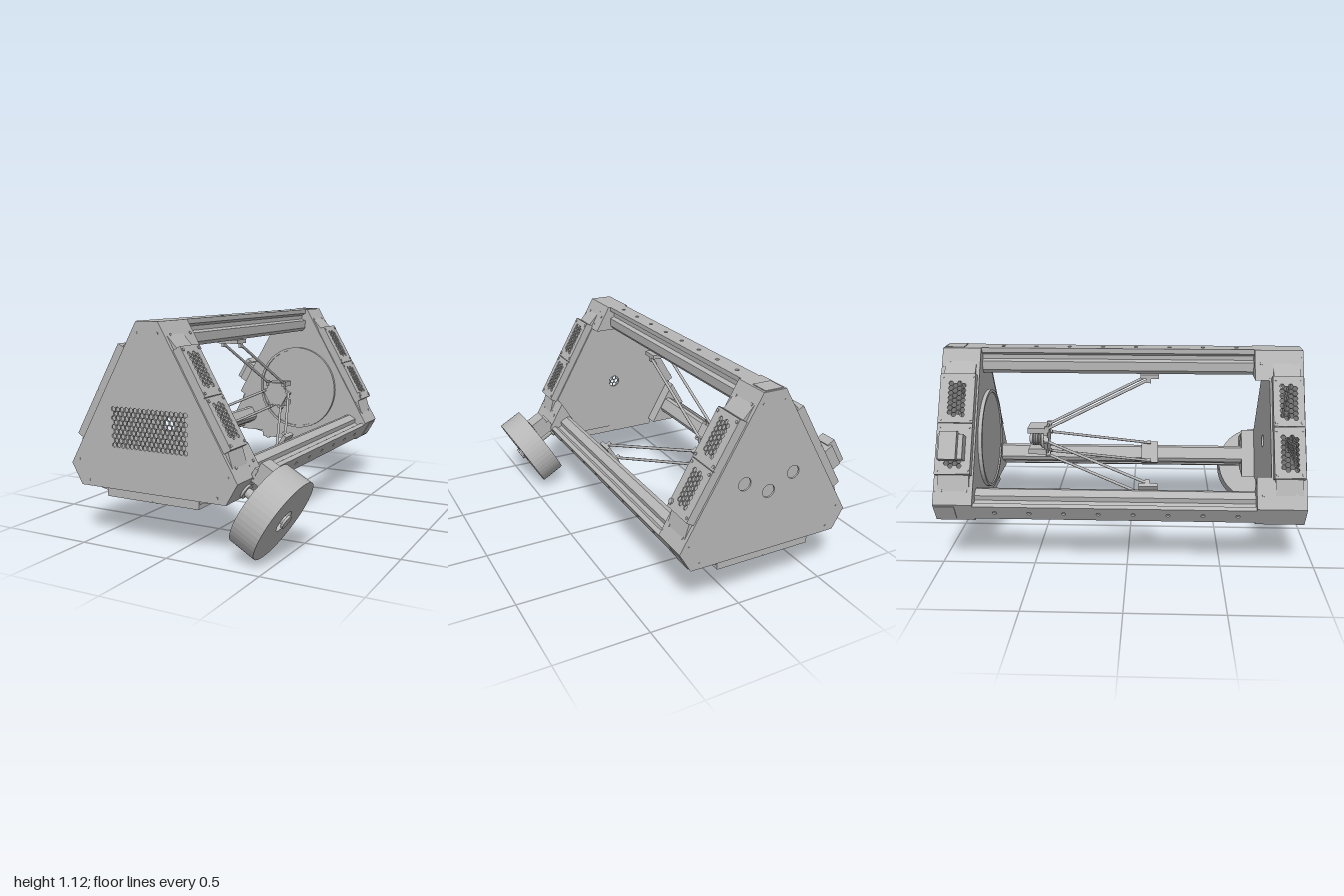
import * as THREE from 'three';

const CX = -0.1375, CY = 0.6, THIRD = Math.PI * 2 / 3;
const grey = new THREE.MeshStandardMaterial({ color: 0xb6b6b6 });
grey.name = 'machine grey';

function add(parent, name, geometry, x = 0, y = 0, z = 0) {
  const m = new THREE.Mesh(geometry, grey);
  m.name = name;
  m.position.set(x, y, z);
  parent.add(m);
  return m;
}
const box = (parent, name, w, h, d, x, y, z) => add(parent, name, new THREE.BoxGeometry(w, h, d), x, y, z);

// A group turned about the long axis of the frame; local +y points outwards
function sector(parent, name, angle) {
  const g = new THREE.Group();
  g.name = name;
  g.position.set(CX, CY, 0);
  g.rotation.z = angle;
  parent.add(g);
  return g;
}

const polygon = pts => new THREE.Shape(pts.map(p => new THREE.Vector2(p[0], p[1])));
const rectangle = (w, h) => polygon([[-w / 2, -h / 2], [w / 2, -h / 2], [w / 2, h / 2], [-w / 2, h / 2]]);
const extrude = (shape, depth, segs = 8) =>
  new THREE.ExtrudeGeometry(shape, { depth, bevelEnabled: false, curveSegments: segs });
// Extrusion lying in the x-z plane, thick along y
const slab = (shape, depth, segs) => extrude(shape, depth, segs).rotateX(-Math.PI / 2);

function punch(shape, x, y, r, sides = 0) {
  const hole = new THREE.Path();
  if (!sides) hole.absarc(x, y, r, 0, Math.PI * 2, true);
  else {
    const pts = [];
    for (let i = 0; i < sides; i++) {
      const a = Math.PI / sides - i / sides * Math.PI * 2 + Math.PI / 2 - Math.PI / sides;
      pts.push(new THREE.Vector2(x + r * Math.cos(a), y + r * Math.sin(a)));
    }
    hole.setFromPoints(pts);
  }
  shape.holes.push(hole);
}

// Staggered honeycomb of hexagonal openings
function honeycomb(shape, x0, x1, y0, y1) {
  const pitch = 0.0262, row = pitch * 0.866, r = 0.0128;
  const rows = Math.floor((y1 - y0 - 2 * r) / row) + 1;
  const yStart = (y0 + y1) / 2 - (rows - 1) * row / 2;
  for (let j = 0; j < rows; j++) {
    for (let x = x0 + r + (j % 2) * pitch / 2; x <= x1 - r + 1e-6; x += pitch) {
      punch(shape, x, yStart + j * row, r, 6);
    }
  }
}

// Triangle with cut corners
function endShape() {
  const pts = [];
  for (let k = 0; k < 3; k++) {
    const c = Math.cos(k * THIRD), s = Math.sin(k * THIRD);
    for (const x of [0.0625, -0.0625]) pts.push([x * c - 0.525 * s, x * s + 0.525 * c]);
  }
  return polygon(pts);
}

// Straight rod between two points
function rod(parent, name, a, b, r) {
  const d = b.clone().sub(a);
  const m = add(parent, name, new THREE.CylinderGeometry(r, r, d.length(), 8));
  m.position.copy(a).addScaledVector(d, 0.5);
  m.quaternion.setFromUnitVectors(new THREE.Vector3(0, 1, 0), d.normalize());
}

// Raised vented cover on one side of an end block
function ventCover(parent, zc, depth) {
  const g = new THREE.Group();
  g.name = 'ventCover';
  g.position.z = zc;
  parent.add(g);
  for (const s of [-1, 1]) {
    const plate = rectangle(0.267, depth);
    honeycomb(plate, -0.103, 0.103, -0.058, 0.058);
    add(g, 'ventPlate', slab(plate, 0.008), s * 0.135, 0.353, 0);
    box(g, 'coverEnd', 0.008, 0.05, depth, s * 0.266, 0.33, 0);
    box(g, 'coverSide', 0.54, 0.045, 0.008, 0, 0.331, s * (depth / 2 - 0.004));
    const flap = polygon([[0.27, 0.335], [0.27, 0.3], [0.38, 0.31]].map(p => [s * p[0], p[1]]));
    add(g, 'coverFlap', extrude(flap, depth - 0.02), 0, 0, 0.01 - depth / 2);
    for (const x of [0.02, 0.25]) for (const e of [-1, 1]) {
      add(g, 'coverScrew', new THREE.CylinderGeometry(0.008, 0.008, 0.006, 10), s * x, 0.362, e * (depth / 2 - 0.014));
    }
  }
}

export function createModel() {
  const model = new THREE.Group();
  model.name = 'triangularFrameMachine';
  const core = sector(model, 'endPlates', 0);

  // End plates
  const front = endShape();
  honeycomb(front, -0.225, 0.225, -0.108, 0.108);
  add(core, 'frontPlate', extrude(front, 0.01), 0, 0, 0.912);
  const frontInner = endShape();
  punch(frontInner, 0, 0, 0.035);
  add(core, 'frontInnerPlate', extrude(frontInner, 0.01), 0, 0, 0.742);
  const back = endShape();
  for (const [x, y] of [[-0.14, 0.08], [0, 0.01], [0.14, 0.08]]) punch(back, x, y, 0.035);
  add(core, 'backPlate', extrude(back, 0.01), 0, 0, -1);
  add(core, 'backInnerPlate', extrude(endShape(), 0.01), 0, 0, -0.805);

  // Round bed with a raised rim
  add(core, 'bed', new THREE.CylinderGeometry(0.26, 0.26, 0.012, 48).rotateX(Math.PI / 2), 0, 0, -0.789);
  const rim = new THREE.Shape().absarc(0, 0, 0.272, 0, Math.PI * 2);
  punch(rim, 0, 0, 0.257);
  add(core, 'bedRim', extrude(rim, 0.02, 24), 0, 0, -0.795);

  const names = ['top', 'left', 'right'];
  const angles = [0, -THIRD, THIRD];
  angles.forEach((angle, i) => {
    const corner = sector(model, names[i] + 'Column', angle);

    // Grooved rail with a drilled outer strip
    const half = [[0.05, 0.516], [0.05, 0.5], [0.026, 0.485], [0.026, 0.462], [0.05, 0.452], [0.05, 0.405], [0.034, 0.385]];
    const profile = polygon([...half, ...half.map(p => [-p[0], p[1]]).reverse()]);
    add(corner, 'rail', extrude(profile, 1.5), 0, 0, -0.81);
    const strip = rectangle(0.1, 1.48);
    for (let k = 0; k < 8; k++) punch(strip, 0, 0.62 - 0.18 * k, 0.011);
    add(corner, 'railStrip', slab(strip, 0.009), 0, 0.516, -0.065);

    // Corner brackets
    const bracket = polygon([[-0.146, 0.38], [0.146, 0.38], [0.0625, 0.525], [-0.0625, 0.525]]);
    add(corner, 'frontBracket', extrude(bracket, 0.245), 0, 0, 0.667);
    add(corner, 'backBracket', extrude(bracket, 0.195), 0, 0, -0.992);
    box(corner, 'backBracketCap', 0.1, 0.006, 0.1, 0, 0.526, -0.94);
    for (const s of [-1, 1]) {
      for (const z of [0.923, -1]) {
        add(corner, 'plateScrew', new THREE.CylinderGeometry(0.006, 0.006, 0.004, 8).rotateX(Math.PI / 2), s * 0.06, 0.469, z);
      }
      for (const z of [0.7, 0.87, -0.83, -0.96]) {
        const screw = add(corner, 'bracketScrew', new THREE.CylinderGeometry(0.008, 0.008, 0.006, 10), s * 0.1, 0.461, z);
        screw.rotation.z = -s * Math.PI / 3;
      }
    }

    // Sliding carriage and its pair of arms
    box(corner, 'carriage', 0.13, 0.022, 0.1, 0, 0.376, 0.11);
    for (const s of [-1, 1]) {
      const x = s * 0.055;
      box(corner, 'carriageJoint', 0.016, 0.03, 0.025, x, 0.355, 0.105);
      rod(corner, 'arm', new THREE.Vector3(x, 0.355, 0.1), new THREE.Vector3(x, 0.072, -0.455), 0.008);
      box(corner, 'effectorJoint', 0.016, 0.035, 0.025, x, 0.068, -0.457);
    }
    box(corner, 'effectorTab', 0.12, 0.07, 0.02, 0, 0.035, -0.465);
  });

  // Tool head
  add(core, 'effector', new THREE.CylinderGeometry(0.055, 0.055, 0.035, 24).rotateX(Math.PI / 2), 0, 0, -0.475);
  add(core, 'nozzleBody', new THREE.CylinderGeometry(0.03, 0.024, 0.09, 16).rotateX(-Math.PI / 2), 0, 0, -0.515);
  for (let k = 0; k < 4; k++) {
    add(core, 'coolingFin', new THREE.CylinderGeometry(0.04, 0.04, 0.006, 20).rotateX(Math.PI / 2), 0, 0, -0.5 - k * 0.014);
  }
  box(core, 'upperFan', 0.11, 0.03, 0.1, 0, 0.06, -0.515);
  box(core, 'lowerFan', 0.11, 0.03, 0.1, 0, -0.062, -0.515);

  // Vented covers on all three sides of both ends
  ['bottom', 'upperLeft', 'upperRight'].forEach((name, i) => {
    const side = sector(model, name + 'Side', [Math.PI, -Math.PI / 3, Math.PI / 3][i]);
    ventCover(side, 0.832, 0.16);
    ventCover(side, -0.897, 0.185);
    if (name === 'upperRight') {
      // Motor housing at the rear
      box(side, 'motorHousing', 0.13, 0.06, 0.13, -0.136, 0.391, -0.9);
      box(side, 'motorCap', 0.145, 0.045, 0.09, -0.136, 0.43, -0.905);
    } else {
      add(side, 'knob', new THREE.CylinderGeometry(0.014, 0.014, 0.012, 12), 0.235, 0.364, -0.82);
    }
  });

  // Spool on its axle beside the lower corner
  const holder = sector(model, 'spoolHolder', -THIRD);
  const spool = new THREE.Shape().absarc(0, 0, 0.225, 0, Math.PI * 2);
  punch(spool, 0, 0, 0.058);
  add(holder, 'spool', slab(spool, 0.145, 24), 0.02, 0.619, 0.775);
  add(holder, 'axle', new THREE.CylinderGeometry(0.024, 0.024, 0.27, 20), 0.016, 0.633, 0.775);
  add(holder, 'axleCap', new THREE.CylinderGeometry(0.036, 0.036, 0.012, 20), 0.016, 0.774, 0.775);
  add(holder, 'axleFlange', new THREE.CylinderGeometry(0.04, 0.04, 0.012, 20), 0.016, 0.531, 0.775);
  box(holder, 'feederMotor', 0.11, 0.09, 0.095, -0.095, 0.57, 0.722);
  box(holder, 'feederMount', 0.1, 0.02, 0.1, -0.06, 0.52, 0.722);
  return model;
}
